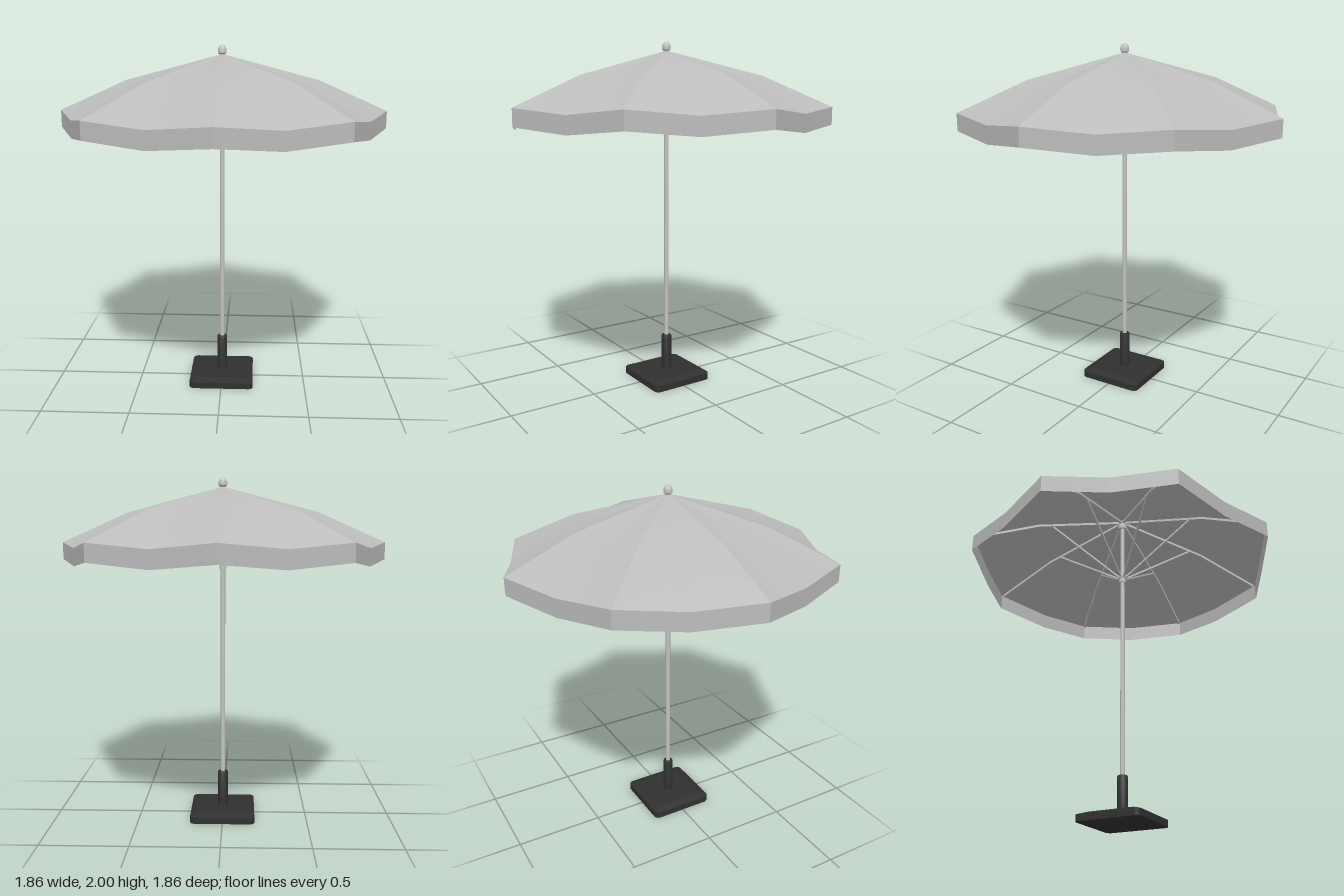
import * as THREE from 'three';
import { toCreasedNormals } from 'three/addons/utils/BufferGeometryUtils.js';

const RIBS = 8, SEGMENTS = RIBS * 2;

export function createModel() {
  const model = new THREE.Group();
  model.name = 'parasol';

  const material = (name, color, side = THREE.FrontSide) => {
    const m = new THREE.MeshStandardMaterial({ color, side });
    m.name = name;
    return m;
  };
  const fabric = material('grey fabric', 0xbcbcbc, THREE.DoubleSide);
  const metal = material('pale metal', 0xc3c3c1);
  const black = material('black base', 0x303030);

  const add = (name, geometry, mat, y = 0, parent = model) => {
    const mesh = new THREE.Mesh(geometry, mat);
    mesh.name = name;
    mesh.position.y = y;
    parent.add(mesh);
    return mesh;
  };
  // Turned part; each profile point is [radius, y], listed from the bottom up
  const turned = (points, sides = 20) => toCreasedNormals(
    new THREE.LatheGeometry(points.map(p => new THREE.Vector2(...p)), sides), 0.6);

  // Ring of points: ribs stick out, gore middles sag inward and down
  const ring = (ribR, ribY, midR, midY) => Array.from({ length: SEGMENTS }, (_, i) => {
    const a = i / SEGMENTS * Math.PI * 2;
    const r = i % 2 ? midR : ribR;
    return [r * Math.cos(a), i % 2 ? midY : ribY, -r * Math.sin(a)];
  });
  // Surface stretched over successive rings, from the top down
  const stretch = (rings, crease) => {
    const index = [];
    for (let k = 0; k < rings.length - 1; k++) {
      for (let i = 0; i < SEGMENTS; i++) {
        const j = (i + 1) % SEGMENTS, a = k * SEGMENTS, b = a + SEGMENTS;
        index.push(a + i, b + i, b + j);
        if (rings[k][0][0] > 0) index.push(a + i, b + j, a + j);
      }
    }
    const g = new THREE.BufferGeometry();
    g.setAttribute('position', new THREE.Float32BufferAttribute(rings.flat(2), 3));
    g.setIndex(index);
    return toCreasedNormals(g, crease);
  };

  // Canopy and hanging valance
  const rim = ring(0.93, 1.637, 0.855, 1.607);
  const hem = ring(0.93, 1.54, 0.855, 1.51);
  add('canopy', stretch([ring(0, 1.95, 0, 1.95), ring(0.545, 1.807, 0.505, 1.79), rim], 0.36), fabric);
  add('valance', stretch([rim, hem], 0.36), fabric);

  // Weighted base: rounded square slab with a sloping top
  const h = 0.19, c = 0.03;
  const outline = new THREE.Shape();
  outline.absarc(h - c, h - c, c, 0, Math.PI / 2);
  outline.absarc(c - h, h - c, c, Math.PI / 2, Math.PI);
  outline.absarc(c - h, c - h, c, Math.PI, Math.PI * 1.5);
  outline.absarc(h - c, c - h, c, Math.PI * 1.5, Math.PI * 2);
  const slab = depth => new THREE.ExtrudeGeometry(outline, { depth, bevelEnabled: false, curveSegments: 5 })
    .rotateX(-Math.PI / 2);
  add('baseSlab', slab(0.038), black);
  const slope = slab(0.015), p = slope.attributes.position;
  for (let i = 0; i < p.count; i++) {
    if (p.getY(i) > 0.01) p.setXYZ(i, p.getX(i) * 0.79, p.getY(i), p.getZ(i) * 0.79);
  }
  slope.computeVertexNormals();
  add('baseTop', slope, black, 0.038);
  add('baseSocket', turned([[0.03, 0.045], [0.03, 0.258], [0.026, 0.265], [0, 0.265]]), black);

  // Pole, sliding hub, top hub and finial
  add('pole', new THREE.CylinderGeometry(0.0135, 0.0135, 1.69, 16), metal, 1.1);
  add('slidingHub', turned([[0.012, 1.485], [0.021, 1.485], [0.021, 1.515], [0.027, 1.515],
    [0.027, 1.538], [0.012, 1.538]]), metal);
  add('topHub', turned([[0.012, 1.885], [0.026, 1.885], [0.026, 1.92], [0.012, 1.92]]), metal);
  add('finial', turned([[0.014, 1.938], [0.016, 1.95], [0.024, 1.956], [0.025, 1.972], [0.021, 1.987],
    [0.012, 1.997], [0, 2]]), metal);

  // Ribs under the canopy and struts up from the sliding hub
  const bar = (name, [x1, y1], [x2, y2], size, parent) => {
    const length = Math.hypot(x2 - x1, y2 - y1);
    const mesh = add(name, new THREE.BoxGeometry(length, size, size), metal, (y1 + y2) / 2, parent);
    mesh.position.x = (x1 + x2) / 2;
    mesh.rotation.z = Math.atan2(y2 - y1, x2 - x1);
  };
  for (let i = 0; i < RIBS; i++) {
    const frame = new THREE.Group();
    frame.name = 'ribFrame';
    frame.rotation.y = i / RIBS * Math.PI * 2;
    model.add(frame);
    bar('innerRib', [0.015, 1.931], [0.545, 1.792], 0.014, frame);
    bar('outerRib', [0.543, 1.793], [0.915, 1.629], 0.014, frame);
    bar('strut', [0.018, 1.518], [0.46, 1.81], 0.01, frame);
  }
  return model;
}
